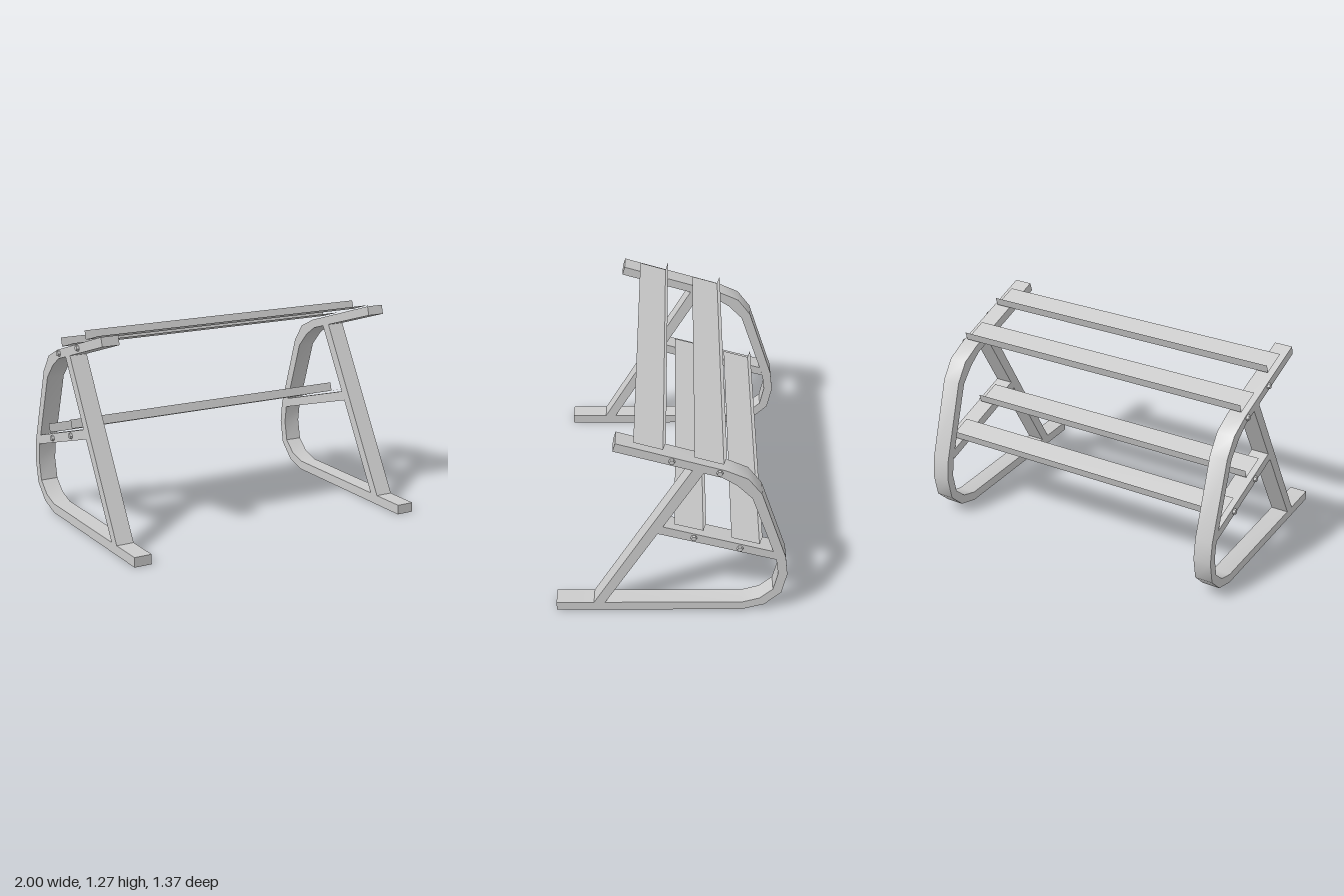
import * as THREE from 'three';
import { toCreasedNormals } from 'three/addons/utils/BufferGeometryUtils.js';

const INNER = 0.875, WIDTH = 0.11, OUTER = INNER + WIDTH;
const grey = new THREE.MeshStandardMaterial({ color: 0xcccccc });
const sheet = new THREE.MeshStandardMaterial({ color: 0xcccccc, side: THREE.DoubleSide });

// Side profile given as [z, y] points, extruded across x from 0 to WIDTH
function profile(points) {
  const shape = new THREE.Shape(points.map(([z, y]) => new THREE.Vector2(-z, y)));
  const geo = new THREE.ExtrudeGeometry(shape, { depth: WIDTH, bevelEnabled: false });
  geo.rotateY(Math.PI / 2);
  return toCreasedNormals(geo, 0.6);
}

function part(name, geometry, material = grey) {
  const mesh = new THREE.Mesh(geometry, material);
  mesh.name = name;
  return mesh;
}

// Bent flat bar: top arm, rounded back and floor runner
const loop = profile([
  [0.31, 1.268], [-0.305, 1.078], [-0.434, 1.017], [-0.515, 0.906], [-0.67, 0.426],
  [-0.685, 0.295], [-0.655, 0.147], [-0.556, 0.05], [-0.42, 0.008], [0.688, 0],
  [0.688, 0.06], [-0.42, 0.066], [-0.526, 0.1], [-0.604, 0.173], [-0.63, 0.298],
  [-0.615, 0.412], [-0.46, 0.877], [-0.372, 0.97], [-0.287, 1.027], [0.326, 1.213],
]);
const leg = profile([[0.465, 0.058], [0.398, 0.058], [-0.183, 1.06], [-0.12, 1.08]]);
const shelfArm = profile([[0.052, 0.662], [0.085, 0.61], [-0.615, 0.41], [-0.595, 0.474]]);

// Bolt centres [z, y]
const bolts = [[-0.003, 1.145], [-0.272, 1.063], [-0.13, 0.581], [-0.4, 0.5]];

function sideFrame(side) {
  const frame = new THREE.Group();
  frame.name = side > 0 ? 'leftFrame' : 'rightFrame';
  const bars = new THREE.Group();
  bars.name = 'bars';
  bars.add(part('bentLoop', loop), part('slopingLeg', leg), part('shelfArm', shelfArm));
  bars.position.x = side > 0 ? INNER : -OUTER;
  frame.add(bars);
  for (const [z, y] of bolts) {
    const head = new THREE.CylinderGeometry(0.016, 0.02, 0.015, 6).toNonIndexed();
    head.computeVertexNormals();
    const bolt = part('boltHead', head);
    bolt.rotation.z = -side * Math.PI / 2;
    bolt.position.set(side * (OUTER + 0.0075), y, z);
    frame.add(bolt);
  }
  return frame;
}

// Thin angle rail: a flat ledge with an upright lip along its back edge
function rail(name, z, y, tilt) {
  const group = new THREE.Group();
  group.name = name;
  const length = 1.91, depth = 0.172, lipHeight = 0.055;
  const ledge = new THREE.PlaneGeometry(length, depth).rotateX(-Math.PI / 2).translate(0, 0, depth / 2);
  const lip = new THREE.PlaneGeometry(length, lipHeight).translate(0, lipHeight / 2, 0);
  group.add(part('ledge', ledge, sheet), part('lip', lip, sheet));
  group.position.set(0, y, z);
  group.rotation.x = -tilt;
  return group;
}

export function createModel() {
  const model = new THREE.Group();
  model.name = 'storageRack';
  model.add(sideFrame(1), sideFrame(-1));
  model.add(
    rail('upperFrontRail', 0.046, 1.202, 0.3),
    rail('upperBackRail', -0.294, 1.098, 0.3),
    rail('lowerFrontRail', -0.184, 0.608, 0.285),
    rail('lowerBackRail', -0.514, 0.506, 0.285),
  );
  return model;
}
